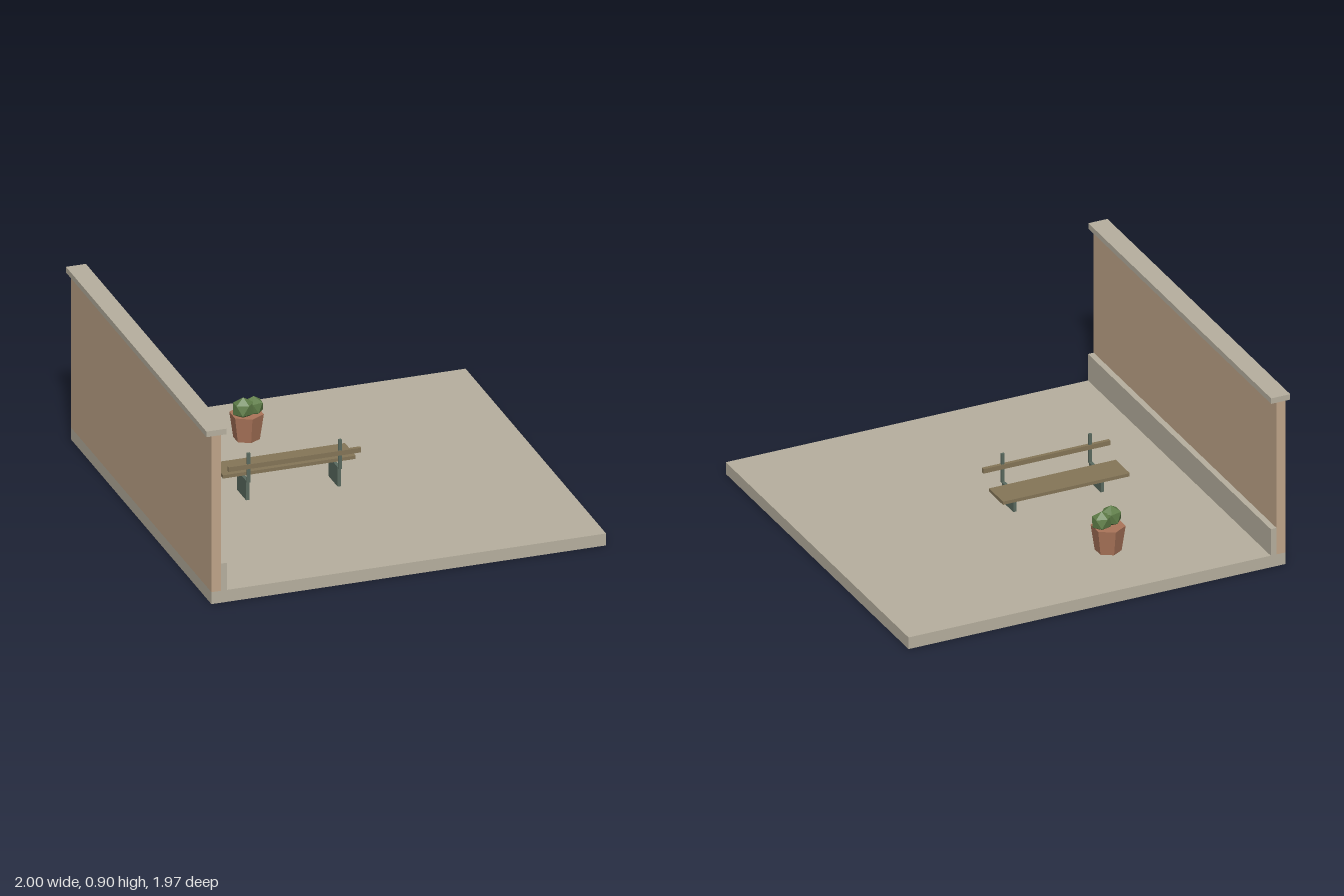
import * as THREE from 'three';

const material = (color) => new THREE.MeshStandardMaterial({ color, flatShading: true });

export function createModel() {
  const model = new THREE.Group();
  const stone = material(0xb7b09f);
  const plaster = material(0xc1a68a);
  const wood = material(0x857658);
  const iron = material(0x5a6a5f);
  const clay = material(0xab755a);
  const leaf = material(0x5f7d48);

  const add = (parent, name, geometry, mat) => {
    const mesh = new THREE.Mesh(geometry, mat);
    mesh.name = name;
    parent.add(mesh);
    return mesh;
  };

  // Box given by its limits on each axis
  const box = (parent, name, mat, [x0, x1], [y0, y1], [z0, z1]) => {
    const mesh = add(parent, name, new THREE.BoxGeometry(x1 - x0, y1 - y0, z1 - z0), mat);
    mesh.position.set((x0 + x1) / 2, (y0 + y1) / 2, (z0 + z1) / 2);
    return mesh;
  };

  // Paving and boundary wall
  const depth = [-0.987, 0.987];
  box(model, 'floorSlab', stone, [-0.975, 1], [0, 0.062], depth);
  box(model, 'wall', plaster, [-0.975, -0.928], [0.062, 0.87], depth);
  box(model, 'wallPlinth', stone, [-0.928, -0.898], [0.062, 0.203], depth);
  box(model, 'wallCap', stone, [-1, -0.9], [0.87, 0.899], depth);

  // Bench
  const bench = new THREE.Group();
  bench.name = 'bench';
  model.add(bench);
  const length = [-0.567, 0.097];
  box(bench, 'seat', wood, length, [0.163, 0.18], [-0.146, 0.005]);
  box(bench, 'backRail', wood, length, [0.23, 0.254], [0.064, 0.082]);
  for (const x of [-0.465, -0.007]) {
    const width = [x - 0.008, x + 0.008];
    box(bench, 'benchLeg', iron, width, [0.062, 0.163], [-0.06, 0.065]);
    box(bench, 'backPost', iron, width, [0.158, 0.31], [0.067, 0.079]);
  }

  // Six-sided pot
  const planter = new THREE.Group();
  planter.name = 'planter';
  planter.position.set(-0.235, 0, -0.597);
  model.add(planter);
  const pot = add(planter, 'pot', new THREE.CylinderGeometry(0.083, 0.064, 0.13, 6), clay);
  pot.position.y = 0.127;

  // Two faceted shrubs, each with a corner pointing up
  const shrubs = [
    { x: -0.023, z: 0.018, y: 0.228, turn: 0.3, size: [0.058, 0.056, 0.049] },
    { x: 0.035, z: -0.001, y: 0.222, turn: 0.9, size: [0.053, 0.052, 0.046] },
  ];
  for (const { x, y, z, turn, size } of shrubs) {
    const geometry = new THREE.IcosahedronGeometry(1, 0);
    geometry.rotateX(-Math.atan((1 + Math.sqrt(5)) / 2)).rotateY(turn).scale(...size);
    add(planter, 'shrub', geometry, leaf).position.set(x, y, z);
  }

  return model;
}
